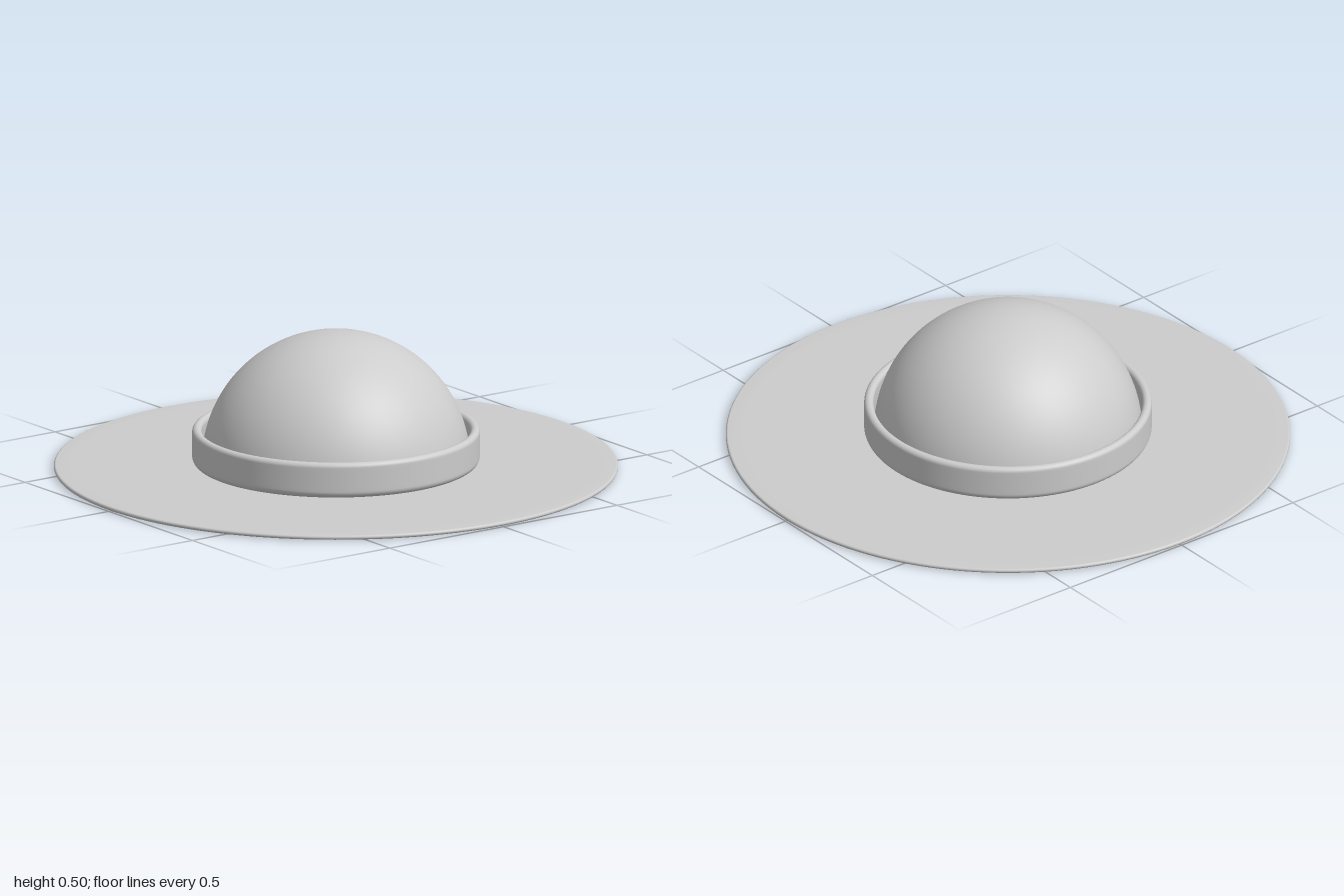
import * as THREE from 'three';

const SEGMENTS = 128;

// Points on a circular arc in the (radius, height) plane
function arc(cx, cy, r, from, to, steps) {
  return Array.from({ length: steps + 1 }, (_, i) => {
    const a = from + ((to - from) * i) / steps;
    return new THREE.Vector2(Math.max(0, cx + r * Math.cos(a)), cy + r * Math.sin(a));
  });
}

export function createModel() {
  const model = new THREE.Group();
  model.name = 'hat';
  const felt = new THREE.MeshStandardMaterial({ color: 0xcccccc });
  felt.name = 'pale grey felt';

  const P = (x, y) => new THREE.Vector2(x, y);
  const addLathe = (name, points) => {
    const mesh = new THREE.Mesh(new THREE.LatheGeometry(points, SEGMENTS), felt);
    mesh.name = name;
    model.add(mesh);
  };
  const H = Math.PI / 2;

  // Outer dome of the crown
  addLathe('crown', arc(0, 0.022, 0.476, 0, H, 40));

  // Hollow inside of the crown, ending in a soft lip at the brim opening
  addLathe('crownLining', [
    ...arc(0, 0.022, 0.461, H, 0, 40),
    ...arc(0.481, 0.02, 0.02, Math.PI, 1.5 * Math.PI, 8),
  ]);

  // Thin flat brim with a rounded rim
  addLathe('brim', [
    P(0.481, 0), P(0.5, 0), P(0.94, 0), P(0.965, 0.001),
    ...arc(0.992, 0.01, 0.008, -H, H, 10),
    P(0.965, 0.019), P(0.94, 0.02), P(0.5, 0.02), P(0.47, 0.02),
  ]);

  // Upright band around the crown, with rounded edges and a narrow gap inside
  const r = 0.017;
  addLathe('band', [
    P(0.47, 0.023), P(0.485, 0.023),
    ...arc(0.485, 0.048, 0.025, -H, 0, 8),
    P(0.51, 0.06), P(0.51, 0.125),
    ...arc(0.51 - r, 0.152 - r, r, 0, Math.PI, 16),
    P(0.476, 0.125), P(0.476, 0.03), P(0.47, 0.023),
  ]);

  return model;
}
